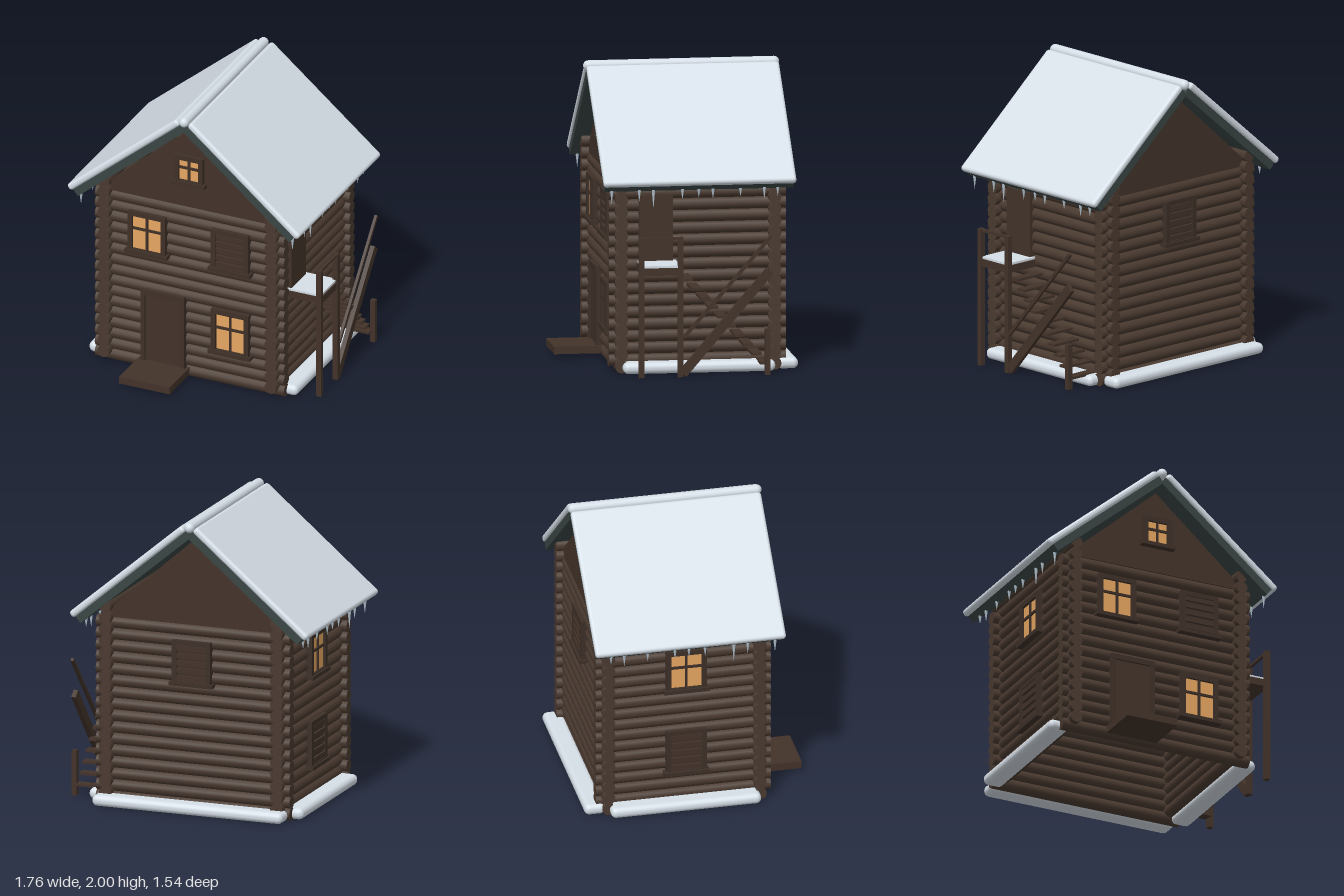
import * as THREE from 'three';
import { RoundedBoxGeometry } from 'three/addons/geometries/RoundedBoxGeometry.js';

const CX = -0.03, CZ = -0.095; // centre of the house plan
const HX = 0.612, HZ = 0.515;  // half distances between wall axes

function mat(name, color) {
  const m = new THREE.MeshStandardMaterial({ color });
  m.name = name;
  return m;
}

export function createModel() {
  const logWood = mat('log wood', 0x4a3a30);
  const plank = mat('plank wood', 0x43332a);
  const frameWood = mat('frame wood', 0x3e3028);
  const roofBoard = mat('roof board', 0x3a4644);
  const snow = mat('snow', 0xe0e9f2);
  const ice = mat('ice', 0xb4c4d0);
  const glow = mat('lit glass', 0xe8a762);

  const house = new THREE.Group();
  house.name = 'logHouse';

  function add(parent, name, geo, material, x = 0, y = 0, z = 0) {
    const m = new THREE.Mesh(geo, material);
    m.name = name;
    m.position.set(x, y, z);
    parent.add(m);
    return m;
  }
  // Box given by its limits on each axis
  function span(parent, name, material, x0, x1, y0, y1, z0, z1) {
    return add(parent, name, new THREE.BoxGeometry(x1 - x0, y1 - y0, z1 - z0), material,
      (x0 + x1) / 2, (y0 + y1) / 2, (z0 + z1) / 2);
  }
  function group(name, parent = house) {
    const g = new THREE.Group();
    g.name = name;
    parent.add(g);
    return g;
  }

  // Interlocking log walls, side logs raised by half a log
  const walls = group('logWalls');
  const longLog = new THREE.CylinderGeometry(0.043, 0.043, 1.385, 14).rotateZ(Math.PI / 2);
  const sideLog = new THREE.CylinderGeometry(0.043, 0.043, 1.19, 14).rotateX(Math.PI / 2);
  for (const s of [-1, 1]) {
    for (let i = 0; i < 16; i++) add(walls, 'endWallLog', longLog, logWood, CX, 0.043 + i * 0.08, CZ + s * HZ);
    for (let i = 0; i < 17; i++) add(walls, 'sideWallLog', sideLog, logWood, CX + s * HX, 0.08 + i * 0.08, CZ);
  }

  // Gables
  const tri = new THREE.Shape([[-0.66, 1.28], [0.66, 1.28], [0, 1.86]].map(p => new THREE.Vector2(...p)));
  const gableGeo = new THREE.ExtrudeGeometry(tri, { depth: 0.06, bevelEnabled: false }).translate(0, 0, -0.03);
  for (const s of [-1, 1]) add(house, 'gable', gableGeo, plank, CX, 0, CZ + s * HZ);

  // Roof: boards with a thick snow slab on each slope
  const pitch = Math.atan(0.84);
  const roofZ = -0.085;
  for (const s of [-1, 1]) {
    const slope = group('roofSlope');
    slope.position.set(CX + s * 0.441, 1.622, roofZ);
    slope.rotation.z = -s * pitch;
    add(slope, 'roofSnow', new RoundedBoxGeometry(1.05, 0.05, 1.295, 3, 0.022), snow);
    add(slope, 'roofBoards', new THREE.BoxGeometry(1.025, 0.055, 1.27), roofBoard, -s * 0.01, -0.052, 0);
  }
  add(house, 'ridgeSnow', new THREE.CapsuleGeometry(0.035, 1.247, 6, 14).rotateX(Math.PI / 2), snow, CX, 1.964, -0.082);

  // Icicles along both eaves
  const icicles = group('icicles');
  const drops = [[0.5, 0.09], [0.315, 0.08], [0.22, 0.13], [0.025, 0.07], [-0.085, 0.06],
    [-0.18, 0.07], [-0.365, 0.06], [-0.525, 0.08], [-0.615, 0.06]];
  for (const s of [-1, 1]) for (const [z, len] of drops) {
    add(icicles, 'icicle', new THREE.ConeGeometry(0.012, len, 6).rotateX(Math.PI), ice, CX + s * 0.775, 1.245 - len / 2, z);
  }

  // Snow banks at the foot of the walls
  const banks = group('snowBanks');
  for (const s of [-1, 1]) {
    add(banks, 'sideSnowBank', new RoundedBoxGeometry(0.14, 0.075, 1.02, 4, 0.035), snow, CX + s * 0.695, 0.038, -0.095);
  }
  add(banks, 'backSnowBank', new RoundedBoxGeometry(1.36, 0.075, 0.14, 4, 0.035), snow, CX, 0.038, -0.7);

  // Window facing +z: frame ring, sill, then either lit panes with a cross or board slats
  function windowUnit(name, w, h, boarded, x, y, z, turn = 0) {
    const g = group(name);
    g.position.set(x, y, z);
    g.rotation.y = turn;
    const b = 0.033, a = w / 2, c = h / 2;
    for (const s of [-1, 1]) {
      add(g, 'frameSide', new THREE.BoxGeometry(b, h, 0.05), frameWood, s * (a - b / 2), 0, 0);
      add(g, 'frameRail', new THREE.BoxGeometry(w, b, 0.048), frameWood, 0, s * (c - b / 2), 0);
    }
    add(g, 'sill', new THREE.BoxGeometry(w + 0.035, 0.026, 0.07), frameWood, 0, -c + 0.013, 0.005);
    const iw = w - 2 * b, ih = h - 2 * b;
    add(g, 'pane', new THREE.BoxGeometry(iw, ih, 0.008), boarded ? frameWood : glow, 0, 0, 0.002);
    if (boarded) {
      for (let i = 0; i < 5; i++) {
        add(g, 'slat', new THREE.BoxGeometry(iw + 0.005, ih * 0.13, 0.022), plank, 0, ih * (0.42 - i * 0.21), 0.012);
      }
    } else {
      add(g, 'mullion', new THREE.BoxGeometry(0.016, ih, 0.02), frameWood, 0, 0, 0.008);
      add(g, 'crossbar', new THREE.BoxGeometry(iw, 0.016, 0.02), frameWood, 0, ih * 0.12, 0.008);
    }
  }
  const front = CZ + HZ + 0.045, back = CZ - HZ - 0.045, left = CX - HX - 0.045;
  windowUnit('gableWindow', 0.21, 0.215, false, -0.028, 1.562, front - 0.01);
  windowUnit('upperFrontWindow', 0.275, 0.31, false, -0.332, 1.02, front);
  windowUnit('boardedFrontWindow', 0.275, 0.31, true, 0.278, 1.02, front);
  windowUnit('lowerFrontWindow', 0.275, 0.33, false, 0.278, 0.408, front);
  windowUnit('boardedBackWindow', 0.275, 0.31, true, CX, 1.02, back, Math.PI);
  windowUnit('upperSideWindow', 0.275, 0.31, false, left, 1.02, -0.08, -Math.PI / 2);
  windowUnit('boardedSideWindow', 0.275, 0.33, true, left, 0.41, -0.08, -Math.PI / 2);

  // Front door with frame and step
  const door = group('frontDoor');
  span(door, 'doorPanel', plank, -0.345, -0.085, 0.07, 0.57, 0.44, 0.475);
  for (const x of [-0.375, -0.085]) span(door, 'doorJamb', frameWood, x, x + 0.03, 0.06, 0.6, 0.43, 0.487);
  span(door, 'doorHead', frameWood, -0.375, -0.055, 0.568, 0.605, 0.43, 0.489);
  span(door, 'frontStep', plank, -0.4, -0.03, 0.025, 0.075, 0.45, 0.77);

  // Upper side door and its landing
  span(house, 'sideDoor', plank, 0.58, 0.645, 0.75, 1.19, 0.073, 0.3);
  const stair = group('sideStair');
  span(stair, 'landing', plank, 0.6, 0.87, 0.685, 0.735, 0.045, 0.315);
  span(stair, 'landingSnow', snow, 0.61, 0.862, 0.735, 0.75, 0.052, 0.308);
  for (const [z, h] of [[0.318, 0.94], [0.055, 0.94], [-0.53, 0.31]]) {
    span(stair, 'post', plank, 0.84, 0.876, 0, h, z - 0.018, z + 0.018);
  }
  span(stair, 'landingRail', plank, 0.848, 0.868, 0.922, 0.94, 0.055, 0.318);

  // Treads descend toward the back
  for (let i = 0; i < 10; i++) {
    const z = 0.003 - i * 0.0578;
    span(stair, 'tread', plank, 0.62, 0.845, 0.64 - i * 0.0637, 0.657 - i * 0.0637, z - 0.033, z + 0.033);
  }
  // Sloping beam in the side plane between two (z, y) points
  function beam(name, x, w, t, z0, y0, z1, y1) {
    const m = add(stair, name, new THREE.BoxGeometry(w, t, Math.hypot(z1 - z0, y1 - y0)), plank, x, (y0 + y1) / 2, (z0 + z1) / 2);
    m.rotation.x = Math.atan2(y1 - y0, -(z1 - z0));
  }
  beam('stringer', 0.855, 0.032, 0.06, 0.04, 0.02, -0.545, 0.7);
  beam('handrail', 0.868, 0.02, 0.022, 0.035, 0.265, -0.555, 0.935);

  return house;
}
